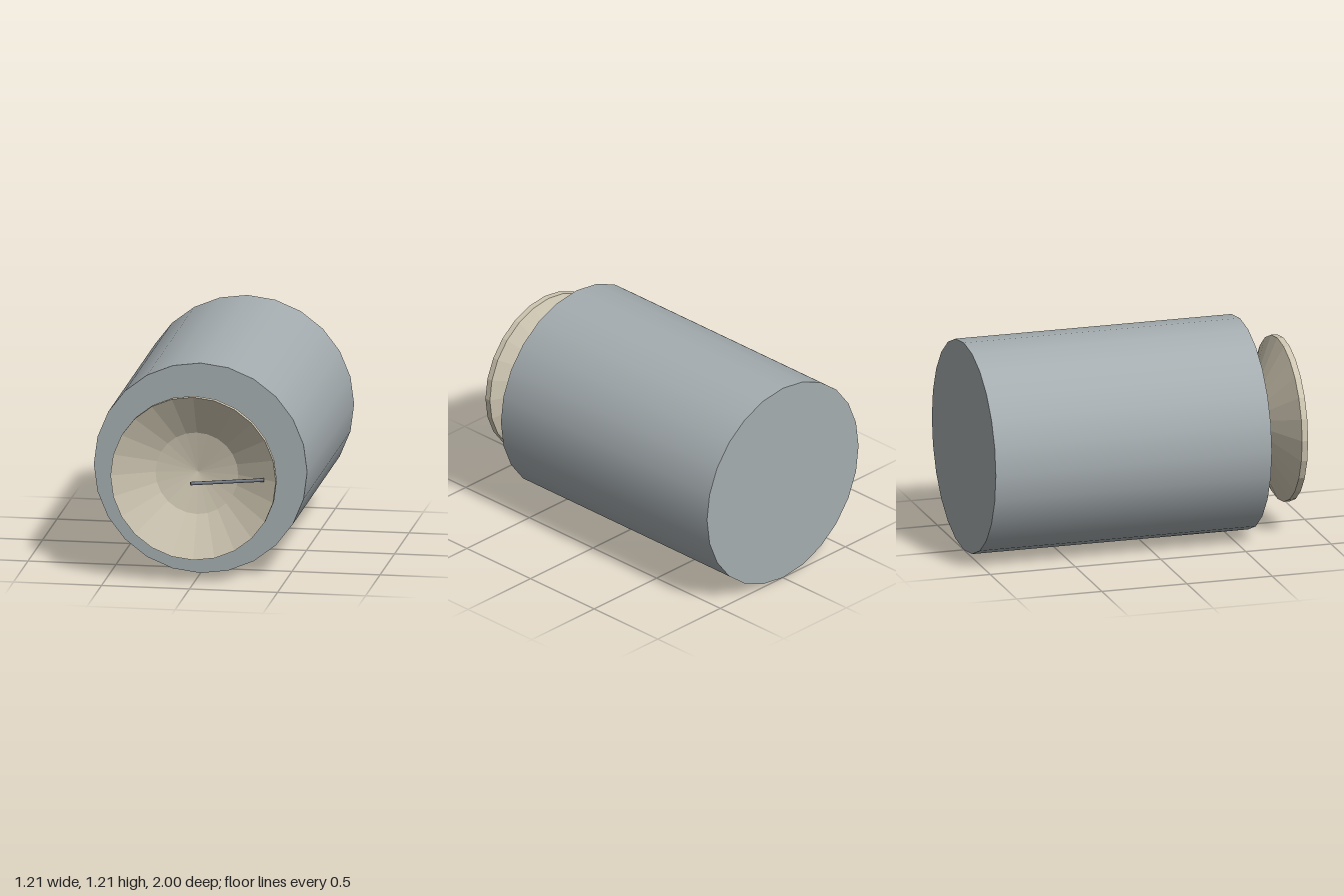
import * as THREE from 'three';

const AXIS_Y = 0.607;
const SIDES = 24;

export function createModel() {
  const model = new THREE.Group();
  model.name = 'dishProbe';

  const bodyGrey = new THREE.MeshStandardMaterial({ color: 0xa5adb0 });
  bodyGrey.name = 'body grey';
  const dishCream = new THREE.MeshStandardMaterial({ color: 0xcdc5b1 });
  dishCream.name = 'dish cream';
  const feedSteel = new THREE.MeshStandardMaterial({ color: 0x757b85 });
  feedSteel.name = 'feed steel';

  const add = (name, geometry, material) => {
    const mesh = new THREE.Mesh(geometry, material);
    mesh.name = name;
    model.add(mesh);
    return mesh;
  };

  // Smooth-sided drum lying along z
  const drum = new THREE.CylinderGeometry(0.606, 0.606, 1.62, SIDES);
  drum.rotateX(Math.PI / 2);
  add('body', drum, bodyGrey).position.set(0, AXIS_Y, -0.19);

  // Faceted dish: conical back, short rim, bowl in two slopes
  const profile = [
    [0, 0.63], [0.47, 0.84], [0.47, 0.875], [0.235, 0.745], [0, 0.7],
  ].map(([r, z]) => new THREE.Vector2(r, z));
  const dish = new THREE.LatheGeometry(profile, SIDES).toNonIndexed();
  dish.computeVertexNormals();
  dish.rotateX(Math.PI / 2);
  add('dish', dish, dishCream).position.y = AXIS_Y;

  // Thin feed rod from the focus down to the bowl
  const focus = new THREE.Vector3(0.004, AXIS_Y, 0.99);
  const foot = new THREE.Vector3(0.396, AXIS_Y, 0.84);
  const along = foot.clone().sub(focus);
  const rod = add('feedRod', new THREE.CylinderGeometry(0.01, 0.01, along.length(), 8), feedSteel);
  rod.position.copy(focus).add(foot).multiplyScalar(0.5);
  rod.quaternion.setFromUnitVectors(new THREE.Vector3(0, 1, 0), along.normalize());

  return model;
}
